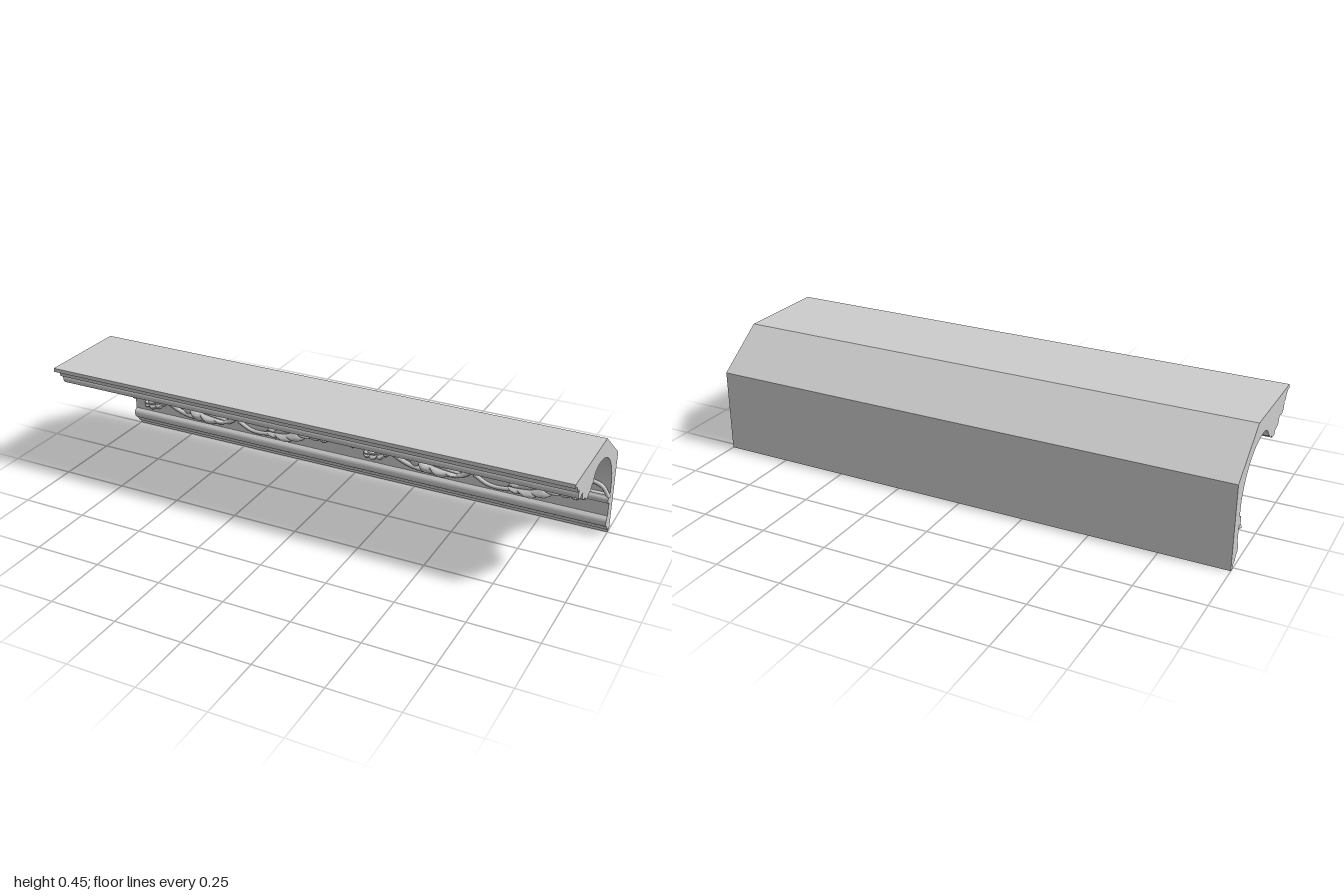
import * as THREE from 'three';
import { toCreasedNormals } from 'three/addons/utils/BufferGeometryUtils.js';
import { ParametricGeometry } from 'three/addons/geometries/ParametricGeometry.js';

const WALL = -0.226; // z of the frieze face behind the ornament

// Moulding cross-section, drawn as (z, y) and swept along x
function mouldingProfile() {
  const s = new THREE.Shape();
  s.moveTo(-0.273, 0);
  s.lineTo(-0.273, 0.313);
  s.lineTo(-0.086, 0.449);
  s.lineTo(0.273, 0.449);
  s.lineTo(0.273, 0.435);
  // cornice: cove, bead, ogee, fillet
  s.bezierCurveTo(0.252, 0.435, 0.241, 0.422, 0.238, 0.404);
  s.lineTo(0.22, 0.404);
  s.bezierCurveTo(0.232, 0.388, 0.222, 0.366, 0.198, 0.365);
  s.bezierCurveTo(0.188, 0.364, 0.183, 0.372, 0.174, 0.371);
  s.bezierCurveTo(0.172, 0.35, 0.168, 0.338, 0.145, 0.336);
  s.quadraticCurveTo(0.128, 0.335, 0.126, 0.32);
  s.lineTo(0.098, 0.32);
  s.lineTo(0.096, 0.327);
  s.bezierCurveTo(0.078, 0.328, 0.063, 0.333, 0.061, 0.346);
  s.lineTo(0.047, 0.347);
  s.bezierCurveTo(0.04, 0.376, 0.012, 0.387, -0.02, 0.387);
  // large cove
  s.absellipse(-0.02, 0.19, 0.203, 0.197, Math.PI / 2, Math.PI, false);
  // centre rail on the frieze
  s.lineTo(-0.223, 0.172);
  s.lineTo(-0.209, 0.17);
  s.lineTo(-0.208, 0.163);
  s.quadraticCurveTo(-0.198, 0.154, -0.208, 0.146);
  s.lineTo(-0.209, 0.138);
  s.lineTo(-0.223, 0.136);
  s.lineTo(-0.223, 0.08);
  // bottom bead and foot
  s.bezierCurveTo(-0.208, 0.076, -0.204, 0.052, -0.218, 0.039);
  s.quadraticCurveTo(-0.232, 0.034, -0.235, 0.018);
  s.lineTo(-0.25, 0.018);
  s.lineTo(-0.25, 0);
  s.closePath();
  return s;
}

// Lobed, domed leaf along a midrib of (x, y) points
function leafGeometry(points, halfWidth, depth, lobes) {
  const rib = new THREE.SplineCurve(points.map(p => new THREE.Vector2(...p)));
  return new ParametricGeometry((u, v, target) => {
    const side = v * 2 - 1, a = Math.abs(side);
    const c = rib.getPoint(u), t = rib.getTangent(u);
    const scallop = Math.sqrt(Math.abs(Math.sin(Math.PI * lobes * u)));
    const envelope = Math.pow(Math.sin(Math.PI * Math.min(1, 0.05 + u * 0.95)), 0.6);
    const w = halfWidth * envelope * (0.5 + 0.5 * scallop) * side;
    const sweep = halfWidth * 0.55 * a * a * envelope; // lobes lean to the tip
    const dome = Math.sqrt(Math.max(0, 1 - a ** 3)) * Math.sqrt(envelope);
    const relief = 0.72 + 0.28 * scallop * Math.min(1, a * 2.5) - 0.14 * Math.exp(-a * a * 50);
    target.set(c.x - t.y * w + t.x * sweep, c.y + t.x * w + t.y * sweep, WALL + depth * dome * relief);
  }, 64, 16);
}

// Tapered tendril lying on the frieze
function stemGeometry(points, radius, z = -0.214) {
  const path = new THREE.CatmullRomCurve3(points.map(([x, y]) => new THREE.Vector3(x, y, z)));
  return new THREE.TubeGeometry(path, 56, radius, 8, false);
}

export function createModel() {
  const model = new THREE.Group();
  const material = new THREE.MeshStandardMaterial({ color: 0xcccccc });
  const thin = new THREE.MeshStandardMaterial({ color: 0xcccccc, side: THREE.DoubleSide });

  const body = new THREE.ExtrudeGeometry(mouldingProfile(), { depth: 2, bevelEnabled: false, curveSegments: 16 });
  body.rotateY(-Math.PI / 2).translate(1, 0, 0);
  const moulding = new THREE.Mesh(toCreasedNormals(body, 0.55), material);
  moulding.name = 'moulding';
  model.add(moulding);

  // One repeat of the ornament, x from 0 to 1
  const parts = [
    ['lowerLeaf', leafGeometry([[0.16, 0.20], [0.24, 0.175], [0.33, 0.135], [0.44, 0.115]], 0.05, 0.041, 6)],
    ['upperLeaf', leafGeometry([[0.13, 0.185], [0.22, 0.208], [0.31, 0.207], [0.39, 0.19]], 0.021, 0.03, 5)],
    ['smallLeaf', leafGeometry([[0.16, 0.145], [0.13, 0.13], [0.09, 0.117], [0.05, 0.112]], 0.026, 0.03, 4)],
    ['lowerLeaf', leafGeometry([[0.63, 0.115], [0.72, 0.125], [0.81, 0.16], [0.9, 0.135]], 0.045, 0.041, 6)],
    ['upperLeaf', leafGeometry([[0.69, 0.17], [0.76, 0.203], [0.85, 0.213], [0.94, 0.2]], 0.021, 0.03, 5)],
    ['smallLeaf', leafGeometry([[0.69, 0.165], [0.65, 0.182], [0.6, 0.19], [0.56, 0.18]], 0.026, 0.03, 4)],
    ['stem', stemGeometry([[0, 0.13], [0.03, 0.178], [0.09, 0.182], [0.16, 0.145], [0.25, 0.108],
      [0.37, 0.103], [0.46, 0.118], [0.495, 0.15]], 0.009)],
    ['stem', stemGeometry([[0.44, 0.11], [0.5, 0.142], [0.56, 0.155], [0.63, 0.15], [0.71, 0.17],
      [0.79, 0.205], [0.9, 0.215], [0.97, 0.2], [1, 0.16]], 0.008)],
    ['tendril', stemGeometry([[0.5, 0.13], [0.56, 0.102], [0.64, 0.104], [0.72, 0.13], [0.8, 0.15]], 0.008)],
    ['tendril', stemGeometry([[0.03, 0.16], [0.08, 0.157], [0.14, 0.182], [0.2, 0.195]], 0.007)],
  ];
  for (const x of [-1, 0]) {
    const ornament = new THREE.Group();
    ornament.name = 'leafOrnament';
    ornament.position.x = x;
    for (const [name, geometry] of parts) {
      const mesh = new THREE.Mesh(geometry, thin);
      mesh.name = name;
      ornament.add(mesh);
    }
    model.add(ornament);
  }
  return model;
}
